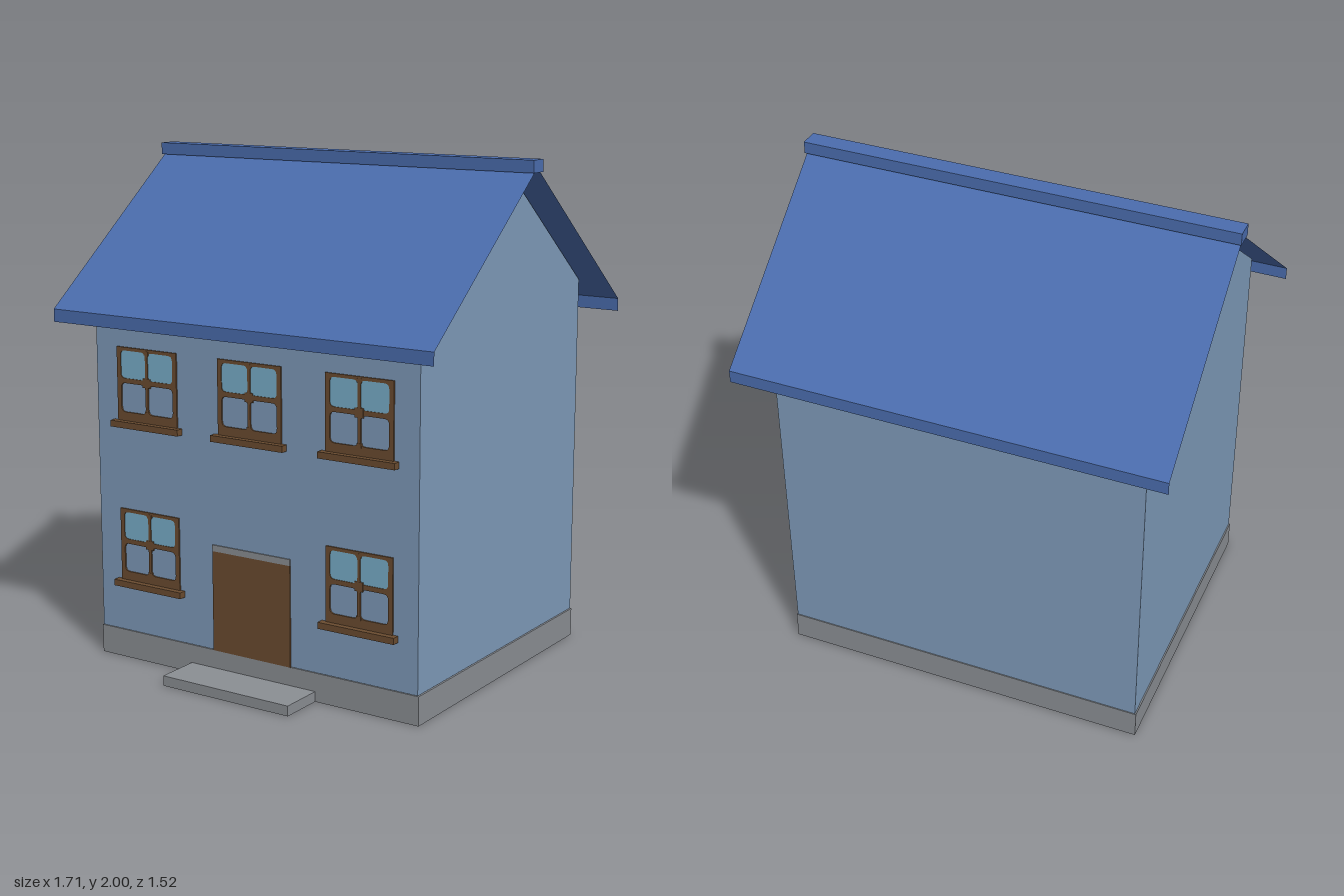
import * as THREE from 'three';

const mat = (name, color) => new THREE.MeshStandardMaterial({ name, color, side: THREE.DoubleSide });

export function createModel() {
  const group = new THREE.Group();
  const wallBlue = mat('wallBlue', 0x7f9bba);
  const roofBlue = mat('roofBlue', 0x4b6dae);
  const stone = mat('stoneGrey', 0x8b8f94);
  const wood = mat('woodBrown', 0x6b4c30);
  const glass = mat('glassBlue', 0x7ab0cb);

  const add = (name, geometry, material, x = 0, y = 0, z = 0, parent = group) => {
    const mesh = new THREE.Mesh(geometry, material);
    mesh.name = name;
    mesh.position.set(x, y, z);
    parent.add(mesh);
    return mesh;
  };
  // Box given by its limits on each axis
  const box = (name, material, x0, x1, y0, y1, z0, z1, parent = group, openBottom = false) => {
    const geometry = new THREE.BoxGeometry(x1 - x0, y1 - y0, z1 - z0);
    if (openBottom) {
      const index = Array.from(geometry.index.array);
      index.splice(18, 6);
      geometry.setIndex(index);
      geometry.clearGroups();
    }
    return add(name, geometry, material, (x0 + x1) / 2, (y0 + y1) / 2, (z0 + z1) / 2, parent);
  };

  // Hollow plinth and front step, both open underneath
  box('foundation', stone, -0.74, 0.74, 0, 0.113, -0.642, 0.581, group, true);
  box('frontStep', stone, -0.29, 0.29, 0, 0.04, 0.581, 0.76, group, true);

  // Walls with gables: one pentagon extruded across the house
  const ridgeZ = -0.032;
  const section = new THREE.Shape([
    [-0.58, 0.115], [0.64, 0.115], [0.64, 1.482], [-ridgeZ, 1.96], [-0.58, 1.482],
  ].map(([a, b]) => new THREE.Vector2(a, b)));
  const walls = new THREE.ExtrudeGeometry(section, { depth: 1.47, bevelEnabled: false });
  walls.rotateY(Math.PI / 2).translate(-0.735, 0, 0);
  add('walls', walls, wallBlue);

  // Roof: thin folded sheet with upright eave boards
  const profile = [[0.69, 1.35], [0.69, 1.4], [-0.035, 1.97], [-0.76, 1.4], [-0.76, 1.35]];
  const half = 0.853;
  const positions = [];
  for (let i = 0; i < profile.length - 1; i++) {
    const [z0, y0] = profile[i];
    const [z1, y1] = profile[i + 1];
    positions.push(-half, y0, z0, half, y0, z0, half, y1, z1);
    positions.push(-half, y0, z0, half, y1, z1, -half, y1, z1);
  }
  const roof = new THREE.BufferGeometry();
  roof.setAttribute('position', new THREE.Float32BufferAttribute(positions, 3));
  roof.computeVertexNormals();
  add('roof', roof, roofBlue);
  box('ridgeCap', roofBlue, -0.857, 0.857, 1.953, 2, -0.073, 0.002);

  // Door with its lintel
  box('door', wood, -0.18, 0.18, 0.113, 0.51, 0.578, 0.585);
  box('doorLintel', stone, -0.18, 0.18, 0.51, 0.535, 0.578, 0.585);

  // Window frame with four rounded panes cut out
  const roundedRect = (path, x0, y0, x1, y1, r) => {
    path.moveTo(x0 + r, y0);
    path.lineTo(x1 - r, y0).quadraticCurveTo(x1, y0, x1, y0 + r);
    path.lineTo(x1, y1 - r).quadraticCurveTo(x1, y1, x1 - r, y1);
    path.lineTo(x0 + r, y1).quadraticCurveTo(x0, y1, x0, y1 - r);
    path.lineTo(x0, y0 + r).quadraticCurveTo(x0, y0, x0 + r, y0);
    return path;
  };
  const frameShape = new THREE.Shape([
    [-0.145, 0.025], [0.145, 0.025], [0.145, 0.315], [-0.145, 0.315],
  ].map(([a, b]) => new THREE.Vector2(a, b)));
  for (const [y0, y1] of [[0.06, 0.174], [0.193, 0.302]]) {
    for (const [x0, x1] of [[-0.126, -0.006], [0.006, 0.126]]) {
      frameShape.holes.push(roundedRect(new THREE.Path(), x0, y0, x1, y1, 0.02));
    }
  }
  const frame = new THREE.ExtrudeGeometry(frameShape, { depth: 0.006, bevelEnabled: false, curveSegments: 4 });

  const addWindow = (x, y) => {
    const win = new THREE.Group();
    win.name = 'window';
    win.position.set(x, y, 0.58);
    group.add(win);
    add('windowFrame', frame, wood, 0, 0, 0, win);
    box('upperGlass', glass, -0.13, 0.13, 0.185, 0.308, -0.002, 0.003, win);
    box('windowSill', wood, -0.165, 0.165, 0, 0.025, -0.005, 0.03, win);
    // Small blocks where the bars meet
    for (const [cy, w, h] of [[0.183, 0.018, 0.018], [0.3, 0.01, 0.008], [0.063, 0.01, 0.008]]) {
      box('barBlock', wood, -w, w, cy - h, cy + h, 0, 0.007, win);
    }
  };
  for (const x of [-0.485, 0, 0.485]) addWindow(x, 0.945);
  for (const x of [-0.485, 0.485]) addWindow(x, 0.3);

  return group;
}
